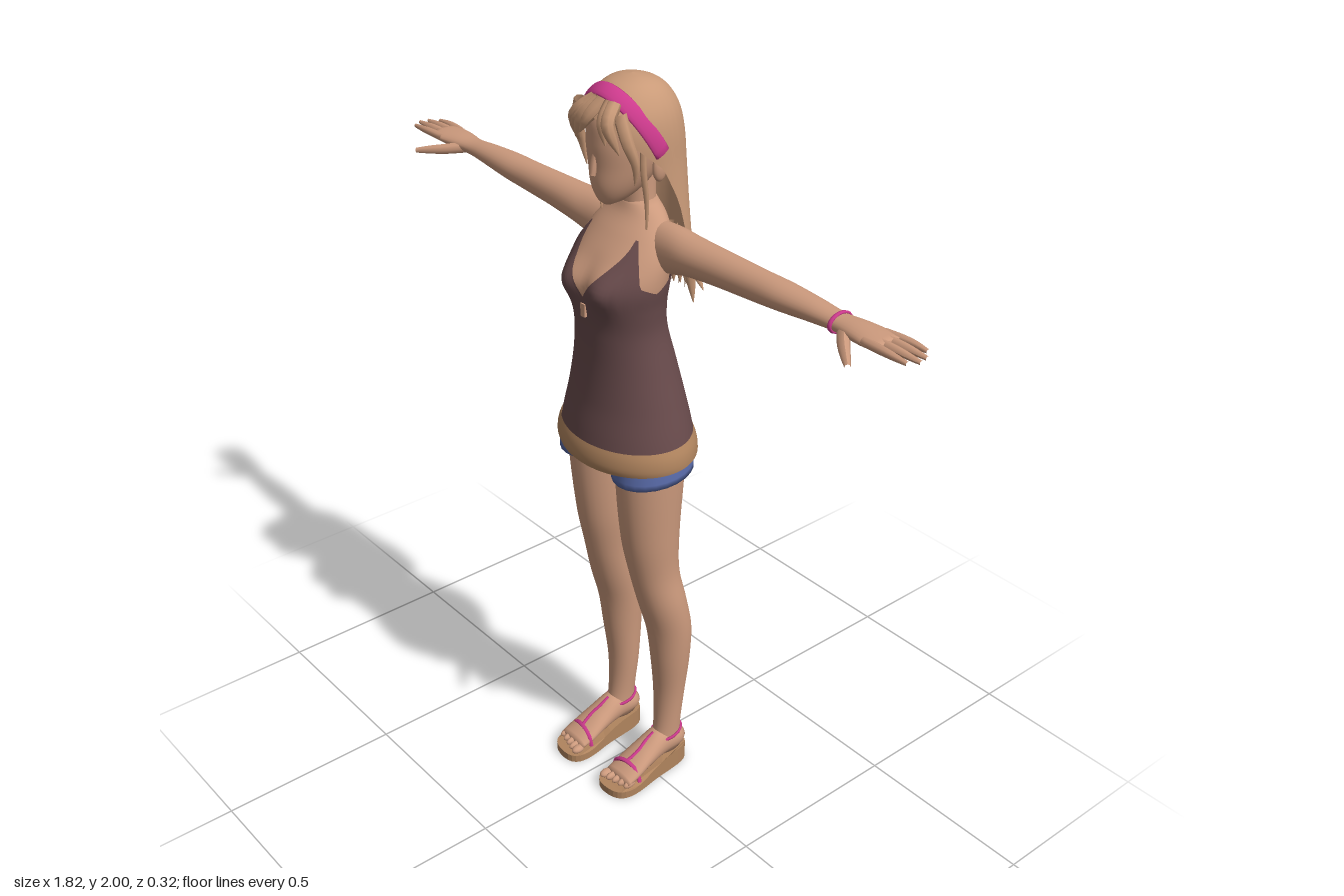
import * as THREE from 'three';

const mat = (name, color, side = THREE.FrontSide) => {
  const m = new THREE.MeshStandardMaterial({ color, side });
  m.name = name;
  return m;
};
const lerp = THREE.MathUtils.lerp;
const V = (x, y, z) => new THREE.Vector3(x, y, z);

// Smooth lookup in rows sorted by their first value
function at(rows, t) {
  const n = rows.length - 1;
  let i = 0;
  while (i < n - 1 && t > rows[i + 1][0]) i++;
  const p = rows[i], q = rows[i + 1], h = q[0] - p[0];
  const u = THREE.MathUtils.clamp((t - p[0]) / h, 0, 1), u2 = u * u, u3 = u2 * u;
  const slope = (j, k) => {
    const a = rows[Math.max(j - 1, 0)], b = rows[Math.min(j + 1, n)];
    return (b[k] - a[k]) / (b[0] - a[0]) * h;
  };
  return p.map((v, k) => k === 0 ? t : (2 * u3 - 3 * u2 + 1) * v + (u3 - 2 * u2 + u) * slope(i, k)
    + (3 * u2 - 2 * u3) * q[k] + (u3 - u2) * slope(i + 1, k));
}

// Skin closed rings of points, optionally closing both ends
function skinRings(rings, cap = true) {
  const m = rings[0].length, pos = rings.flat().flatMap(p => [p.x, p.y, p.z]), idx = [];
  for (let i = 0; i < rings.length - 1; i++) for (let j = 0; j < m; j++) {
    const a = i * m + j, b = i * m + (j + 1) % m;
    idx.push(a, b, a + m, b, b + m, a + m);
  }
  if (cap) [0, rings.length - 1].forEach((r, e) => {
    const c = rings[r].reduce((s, p) => s.add(p), V(0, 0, 0)).divideScalar(m), k = pos.length / 3;
    pos.push(c.x, c.y, c.z);
    for (let j = 0; j < m; j++) {
      const a = r * m + j, b = r * m + (j + 1) % m;
      e ? idx.push(a, b, k) : idx.push(b, a, k);
    }
  });
  const g = new THREE.BufferGeometry();
  g.setAttribute('position', new THREE.Float32BufferAttribute(pos, 3));
  g.setIndex(idx);
  g.computeVertexNormals();
  return g;
}

// Rows are [along, centre across, half width, front, back]; angle 0 is the front
function pointAt(rows, a, t, grow = 0) {
  const [, cx, rx, f, b] = at(rows, t), mid = (f + b) / 2, r = Math.max((f - b) / 2, 0) + grow;
  return V(cx + (Math.max(rx, 0) + grow) * Math.sin(a), t, mid + r * Math.cos(a));
}
const axes = { y: p => p, x: p => V(p.y, p.z, p.x), z: p => V(p.z, p.x, p.y) };
function loft(rows, { axis = 'y', seg = 24, steps = 28, lo, hi, grow = 0, cap = true, ease = v => v, bump } = {}) {
  const rings = [], lo2 = lo ?? (() => rows[0][0]), hi2 = hi ?? (() => rows[rows.length - 1][0]);
  for (let i = 0; i <= steps; i++) {
    const ring = [];
    for (let j = 0; j < seg; j++) {
      const a = j / seg * Math.PI * 2, fold = Math.min(a, Math.PI * 2 - a);
      const p = pointAt(rows, a, lerp(lo2(fold, j), hi2(fold, j), ease(i / steps)), grow);
      if (bump && Math.cos(a) > 0) p.z += bump(p);
      ring.push(axes[axis](p));
    }
    rings.push(ring);
  }
  return skinRings(rings, cap);
}

// Piecewise linear edge height by angle
const edge = pts => a => {
  let i = 0;
  while (i < pts.length - 2 && a > pts[i + 1][0]) i++;
  const [p, q] = [pts[i], pts[i + 1]];
  return lerp(p[1], q[1], Math.min((a - p[0]) / (q[0] - p[0]), 1));
};

// Tapered tube along a curve, for fingers and hair locks
function taper(points, r, end = 0.1, radial = 8) {
  const n = 10, c = new THREE.CatmullRomCurve3(points.map(p => V(...p)));
  const g = new THREE.TubeGeometry(c, n, r, radial), p = g.attributes.position, v = V(0, 0, 0);
  for (let i = 0; i < p.count; i++) {
    const u = Math.floor(i / (radial + 1)) / n, o = c.getPointAt(u);
    v.fromBufferAttribute(p, i).sub(o).multiplyScalar(lerp(1, end, u ** 2.5)).add(o);
    p.setXYZ(i, v.x, v.y, v.z);
  }
  g.computeVertexNormals();
  return g;
}
const ball = (x, y, z, sx, sy, sz) => new THREE.SphereGeometry(1, 16, 12).scale(sx, sy, sz).translate(x, y, z);
function mirrored(g) {
  const m = (g.index ? g.clone() : g.clone().setIndex([...Array(g.attributes.position.count).keys()])).scale(-1, 1, 1);
  const a = m.index.array;
  for (let i = 0; i < a.length; i += 3) [a[i], a[i + 1]] = [a[i + 1], a[i]];
  return m;
}

export function createModel() {
  const model = new THREE.Group();
  const skin = mat('skin', 0xcc9a7d), hair = mat('hair', 0xc99a78, THREE.DoubleSide);
  const cloth = mat('dark cloth', 0x694b4c, THREE.DoubleSide), trim = mat('tan trim', 0xb0845e, THREE.DoubleSide);
  const denim = mat('blue denim', 0x5a6cab, THREE.DoubleSide), pink = mat('pink', 0xcc3a8c);
  const add = (name, g, m) => {
    const mesh = new THREE.Mesh(g, m);
    mesh.name = name;
    model.add(mesh);
  };
  const pair = (name, g, m) => { add(name + 'Left', g, m); add(name + 'Right', mirrored(g), m); };

  // Torso, with the dress as a shell over it
  const torso = [[1.03, 0, .203, .15, -.148], [1.12, 0, .184, .137, -.136], [1.2, 0, .163, .124, -.12],
    [1.3, 0, .138, .117, -.098], [1.39, 0, .122, .12, -.077], [1.46, 0, .127, .128, -.073], [1.52, 0, .137, .128, -.078],
    [1.58, 0, .135, .095, -.084], [1.63, 0, .118, .055, -.085], [1.67, 0, .085, .02, -.083], [1.7, 0, .045, .005, -.075]];
  const bust = p => .026 * Math.exp(-(((Math.abs(p.x) - .065) / .045) ** 2) - ((p.y - 1.51) / .05) ** 2);
  const neckline = edge([[0, 1.485], [.3, 1.54], [.62, 1.6], [.75, 1.64], [.85, 1.61], [1.15, 1.53], [1.57, 1.51], [2.2, 1.55], [3.15, 1.55]]);
  add('torso', loft(torso, { seg: 64, steps: 40, lo: () => 1.35, bump: bust }), skin);
  add('dress', loft(torso, { seg: 96, steps: 40, lo: () => 1.08, hi: neckline, grow: .005, cap: false, bump: bust }), cloth);
  add('dressHem', loft([[1.03, 0, .2, .147, -.147], [1.05, 0, .204, .153, -.15], [1.08, 0, .2, .15, -.148], [1.11, 0, .187, .139, -.139]],
    { seg: 64, steps: 8, lo: a => 1.045 - .013 * Math.cos(a), hi: a => 1.103 - .007 * Math.cos(a), grow: .004, cap: false }), trim);
  const key = pointAt(torso, 0, 1.45, .008);
  add('keyhole', new THREE.BoxGeometry(.016, .034, .008).translate(0, 1.45, key.z), skin);
  add('neck', loft([[1.63, 0, .06, .02, -.08], [1.68, 0, .045, .008, -.075], [1.78, 0, .042, .015, -.075]]), skin);

  // Shorts
  add('shortsSeat', loft([[1.04, 0, .1, .07, -.07], [1.07, 0, .165, .105, -.105], [1.16, 0, .155, .11, -.105]], { seg: 40 }), denim);
  pair('shortsLeg', loft([[.995, .106, .093, .117, -.108], [1.06, .1, .092, .112, -.107], [1.12, .09, .08, .1, -.1]],
    { lo: (a, j) => 1.003 - .008 * Math.cos(a), steps: 8 }), denim);

  // Legs
  pair('leg', loft([[.06, .1, .034, 0, -.108], [.13, .1, .035, -.02, -.1], [.25, .099, .044, -.025, -.11], [.38, .103, .055, -.012, -.12],
    [.48, .103, .062, .002, -.121], [.58, .1, .066, .03, -.102], [.68, .094, .064, .055, -.082], [.8, .092, .072, .08, -.08],
    [1, .095, .08, .1, -.09], [1.1, .095, .08, .1, -.09]], { steps: 48, seg: 28 }), skin);

  // Feet: rows run along z, then height, half height, outer and inner side
  pair('foot', loft([[-.113, .08, .02, .12, .08], [-.09, .085, .035, .135, .065], [-.03, .088, .045, .138, .063],
    [.03, .07, .034, .144, .058], [.08, .05, .024, .15, .053], [.12, .036, .014, .15, .055]], { axis: 'z' }), skin);
  for (let i = 0; i < 5; i++)
    pair('toe' + i, ball(.064 + i * .0195, .033, .13 - i * .005, i ? .009 : .013, .011, .02), skin);

  // Wedge sandals
  const outline = new THREE.Shape();
  outline.moveTo(.1, -.12);
  outline.bezierCurveTo(.15, -.12, .135, -.04, .15, .04);
  outline.bezierCurveTo(.165, .12, .16, .16, .09, .16);
  outline.bezierCurveTo(.03, .16, .04, .1, .052, .04);
  outline.bezierCurveTo(.066, -.04, .05, -.12, .1, -.12);
  const sole = new THREE.ExtrudeGeometry(outline, { depth: 1, bevelEnabled: false, curveSegments: 10 });
  const sp = sole.attributes.position;
  for (let i = 0; i < sp.count; i++) {
    const z = sp.getY(i), top = lerp(.055, .022, THREE.MathUtils.smoothstep(z, -.06, .11));
    sp.setXYZ(i, -sp.getX(i), sp.getZ(i) * top, z);
  }
  sole.computeVertexNormals();
  pair('sandalSole', sole, trim);
  const strap = (pts, r) => taper(pts, r, 1, 6);
  pair('toeStrap', strap([[.052, .03, .09], [.063, .061, .09], [.1, .074, .085], [.137, .061, .08], [.151, .03, .08]], .006), pink);
  pair('instepStrap', strap([[.1, .074, .085], [.104, .092, .05], [.1, .112, .015], [.1, .125, -.012]], .005), pink);
  pair('ankleStrap', new THREE.TorusGeometry(1, .1, 6, 28).rotateX(Math.PI / 2).scale(.037, .05, .047).rotateX(.2).translate(.1, .113, -.057), pink);

  // Arms: rows run along x, then depth, half depth, top and bottom
  pair('arm', loft([[.07, -.035, .048, 1.66, 1.53], [.14, -.033, .05, 1.663, 1.545], [.2, -.03, .05, 1.66, 1.562], [.3, -.03, .045, 1.658, 1.573],
    [.42, -.03, .041, 1.656, 1.581], [.5, -.03, .041, 1.655, 1.588], [.6, -.03, .034, 1.65, 1.598], [.67, -.03, .03, 1.644, 1.604],
    [.73, -.03, .039, 1.645, 1.607], [.78, -.028, .044, 1.643, 1.612], [.815, -.028, .038, 1.64, 1.617]], { axis: 'x', steps: 44 }), skin);
  [[.885, -.064], [.905, -.04], [.91, -.016], [.895, .009]].forEach(([tip, z], i) =>
    pair('finger' + i, taper([[.77, 1.629, z * .85 - .004], [.84, 1.631, z], [tip, 1.629, z]], .011, .45), skin));
  pair('thumb', taper([[.69, 1.62, -.02], [.735, 1.612, .025], [.77, 1.607, .055], [.795, 1.603, .075]], .015, .45), skin);
  add('bracelet', new THREE.TorusGeometry(1, .14, 8, 28).rotateY(Math.PI / 2).scale(.04, .022, .032).translate(.67, 1.624, -.03), pink);

  // Head
  add('head', loft([[1.703, 0, .012, .07, .045], [1.715, 0, .032, .083, .005], [1.75, 0, .058, .096, -.05], [1.8, 0, .077, .099, -.09],
    [1.86, 0, .085, .103, -.1], [1.92, 0, .08, .095, -.1], [1.97, 0, .045, .05, -.06]], { seg: 40 }), skin);
  add('nose', taper([[0, 1.835, .091], [0, 1.805, .099], [0, 1.782, .104]], .01, .8), skin);
  pair('ear', ball(.086, 1.795, -.025, .012, .034, .02).rotateZ(0), skin);

  // Hair: one shell, short over the face and long and ragged at the back
  const shell = [[1.42, 0, .125, -.03, -.155], [1.55, 0, .124, .0, -.153], [1.7, 0, .115, .05, -.15], [1.8, 0, .112, .1, -.148],
    [1.87, 0, .112, .115, -.141], [1.92, 0, .104, .106, -.128], [1.96, 0, .084, .078, -.104], [1.985, 0, .058, .045, -.073],
    [1.996, 0, .03, .012, -.04], [2, 0, .001, -.013, -.015]];
  const hairline = edge([[0, 1.925], [.6, 1.9], [1.1, 1.85], [1.5, 1.8], [1.72, 1.7], [1.85, 1.55], [2.1, 1.5], [3.15, 1.5]]);
  add('hair', loft(shell, { seg: 120, steps: 44, cap: false, ease: v => 1 - (1 - v) ** 2,
    lo: (a, j) => hairline(a) - (a > 1.85 ? [0, .03, .065, .02][j % 4] : 0) }), hair);
  for (let i = 0; i < 7; i++) {
    const x = (i - 3) * .035, z = -.145 + Math.abs(i - 3) * .014;
    add('hairTip' + i, taper([[x, 1.6, z + .008], [x * 1.05, 1.52, z], [x * 1.15, 1.44 + (i % 3) * .015, z - .004]], .017, .05), hair);
  }
  pair('sideTip', taper([[.108, 1.62, -.085], [.128, 1.55, -.095], [.163, 1.49, -.1]], .018, .04), hair);
  pair('sideLock', taper([[.095, 1.87, .03], [.094, 1.8, .03], [.088, 1.72, .015], [.082, 1.63, .01]], .008, .1), hair);
  pair('templeLock', taper([[.07, 1.94, .08], [.09, 1.88, .075], [.096, 1.82, .055], [.088, 1.77, .05]], .016, .08), hair);
  // Fringe swept from an off-centre parting
  [[-.095, 1.83, .065], [-.08, 1.85, .088], [-.058, 1.862, .106], [-.03, 1.88, .116], [.055, 1.87, .11], [.08, 1.85, .09]].forEach(([x, y, z], i) =>
    add('fringe' + i, taper([[.02 + x * .35, 1.958, .078], [.01 + x * .65, 1.92, .108], [x, y, z]], .018, .08), hair));

  // Headband arching over the hair
  const band = [];
  for (let i = 0; i <= 32; i++) {
    const f = lerp(-1, 1, i / 32) * Math.PI / 2, c = Math.cos(f), s = Math.sin(f), ring = [];
    for (let j = 0; j < 12; j++) {
      const a = j / 12 * Math.PI * 2, r = .006 * Math.cos(a), w = .021 * Math.sin(a);
      ring.push(V((.113 + r) * s, 1.84 + .139 * c + .865 * r * c - .5 * w, -.01 + .08 * c + .5 * r * c + .865 * w));
    }
    band.push(ring);
  }
  add('headband', skinRings(band), pink);
  return model;
}
